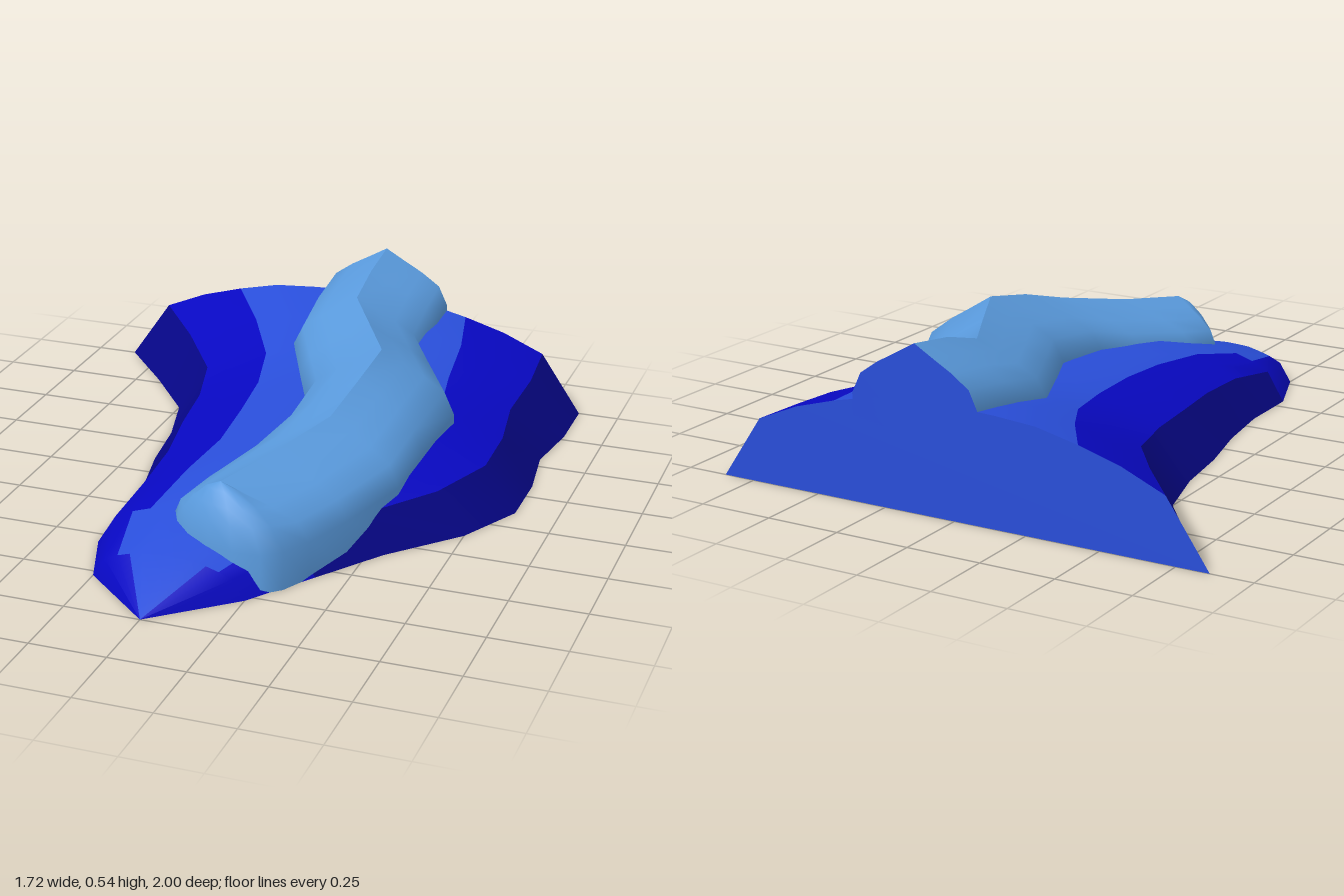
import * as THREE from 'three';

const paint = (name, color) => {
  const m = new THREE.MeshStandardMaterial({ color });
  m.name = name;
  return m;
};

export function createModel() {
  const group = new THREE.Group();
  const navy = paint('navy', 0x06068a);
  const deepBlue = paint('deep blue', 0x0808c2);
  const midBlue = paint('mid blue', 0x294eda);
  const iceBlue = paint('ice blue', 0x5a9bde);

  const add = (name, geometry, material) => {
    const mesh = new THREE.Mesh(geometry, material);
    mesh.name = name;
    group.add(mesh);
  };

  // Surface through rows of points; keep(i, j) chooses which cells are built
  const sheet = (rows, keep = () => true) => {
    const n = rows[0].length, index = [];
    for (let i = 0; i < rows.length - 1; i++) {
      for (let j = 0; j < n - 1; j++) {
        if (!keep(i, j)) continue;
        const a = i * n + j, c = a + n;
        index.push(a, c, a + 1, a + 1, c, c + 1);
      }
    }
    const g = new THREE.BufferGeometry();
    g.setAttribute('position', new THREE.Float32BufferAttribute(rows.flat(2), 3));
    g.setIndex(index);
    g.computeVertexNormals();
    return g;
  };
  const flat = (points) =>
    new THREE.ShapeGeometry(new THREE.Shape(points.map(([x, y]) => new THREE.Vector2(x, y))));
  const bottomPlate = (points, y) => flat(points).rotateX(Math.PI / 2).translate(0, y, 0);
  const backPlate = (points) =>
    flat(points.map(([x, y]) => [-x, y])).rotateY(Math.PI).translate(0, 0, -1);

  // Slope: rounded sections [left x, right x, height], evenly spaced in z
  const sections = [
    [-0.86, 0.86, 0.36], [-0.67, 0.86, 0.335], [-0.50, 0.83, 0.295], [-0.44, 0.86, 0.275],
    [-0.41, 0.86, 0.265], [-0.36, 0.75, 0.245], [-0.33, 0.55, 0.225], [-0.33, 0.40, 0.17],
    [-0.25, 0.25, 0.11], [0, 0, 0],
  ];
  const bulge = [0, 0.58, 0.75, 0.865, 0.955, 0.985, 1]; // height share from rim to middle
  const slope = sections.map(([l, r, h], i) => {
    const row = [];
    for (let j = 0; j <= 12; j++) {
      const x = (l + r) / 2 + (j / 6 - 1) * (r - l) / 2;
      row.push([x, h * bulge[Math.min(j, 12 - j)], -1 + i * 2 / 9]);
    }
    return row;
  });
  // Colour bands run inward from the rim; they shift outward at the nose
  const band = (i, j) => {
    const strip = Math.min(j, 11 - j);
    if (i === 7) return strip < 2 ? 1 : 2;
    if (strip === 0 && i < 7) return 0;
    return strip < 3 ? 1 : 2;
  };
  [['outerSlope', navy], ['middleSlope', deepBlue], ['innerSlope', midBlue]].forEach(([name, material], k) =>
    add(name, sheet(slope, (i, j) => band(i, j) === k), material));

  const rim = [
    ...slope.map((row) => row[0]),
    ...slope.slice(0, -1).reverse().map((row) => row[12]),
  ];
  add('slopeBottom', bottomPlate(rim.map((p) => [p[0], p[2]]), 0), navy);
  add('slopeBack', backPlate(slope[0]), midBlue);

  // Ridge: a winding crest with ribs falling to a footprint on each side
  const crest = [
    [0.13, 0.535, -1], [0.13, 0.51, -0.82], [0.13, 0.465, -0.66], [0.245, 0.455, -0.45],
    [0.36, 0.465, -0.22], [0.345, 0.43, -0.03], [0.315, 0.375, 0.17], [0.205, 0.33, 0.4],
    [0.11, 0.305, 0.61],
  ];
  const leftFoot = [
    [-0.09, -1], [-0.09, -0.8], [-0.08, -0.6], [0.02, -0.38], [0.11, -0.18],
    [0.11, 0.07], [0.05, 0.24], [-0.03, 0.45], [-0.06, 0.57],
  ];
  const noseFoot = [[-0.04, 0.62], [0.02, 0.67], [0.1, 0.705], [0.19, 0.725], [0.28, 0.72], [0.335, 0.67]];
  const rightFoot = [
    [0.36, -1], [0.36, -0.85], [0.36, -0.7], [0.475, -0.5], [0.6, -0.27],
    [0.575, 0], [0.555, 0.2], [0.46, 0.43], [0.385, 0.57],
  ];
  // Rib profiles: [share of the way from crest to foot, share of the drop kept]
  const sideRib = [[1, 0], [0.86, 0.36], [0.58, 0.6], [0.3, 0.79], [0, 1]];
  const noseRib = [[1, 0], [0.8, 0.42], [0.58, 0.68], [0.3, 0.9], [0, 1]];
  // Each rib ends in an upright wall reaching the share "edge" of crest height
  const rib = (top, foot, profile, edge) => [
    [foot[0], 0, foot[1]],
    ...profile.map(([t, s]) => [
      top[0] + (foot[0] - top[0]) * t,
      top[1] * (edge + (1 - edge) * s),
      top[2] + (foot[1] - top[2]) * t,
    ]),
  ];
  const ridge = [
    ...leftFoot.map((f, i) => rib(crest[i], f, sideRib, 0.66 - 0.02 * i)),
    ...noseFoot.map((f) => rib(crest[8], f, noseRib, 0.42)),
    ...rightFoot.map((f, i) => rib(crest[i], f, sideRib, 0.65 - 0.03 * i)).reverse(),
  ];
  add('ridge', sheet(ridge), iceBlue);
  add('ridgeBottom', bottomPlate(ridge.map((r) => [r[0][0], r[0][2]]), 0.003), navy);
  add('ridgeBack', backPlate([...ridge[0], ...ridge[ridge.length - 1].slice(0, -1).reverse()]), midBlue);

  return group;
}
